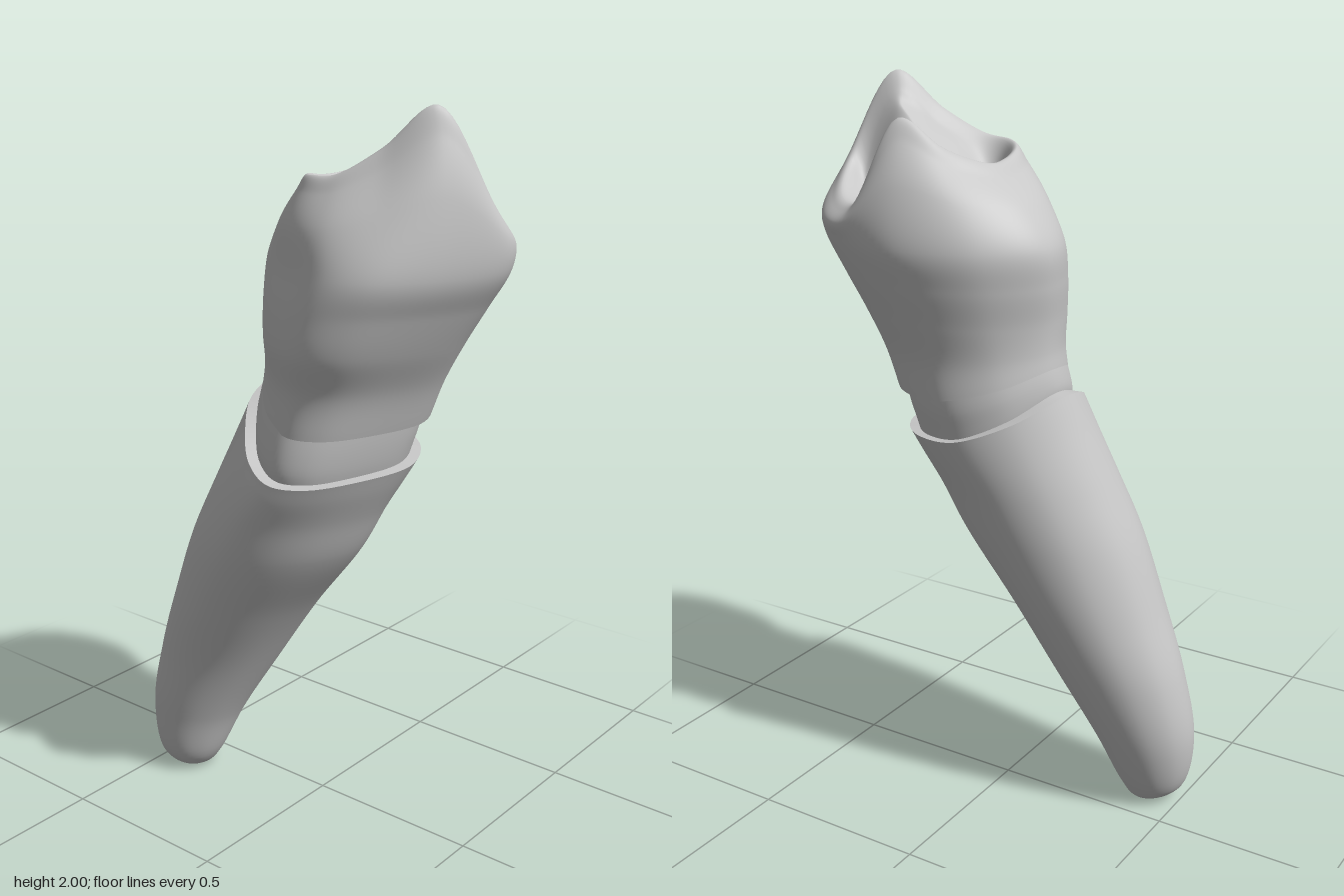
import * as THREE from 'three';
import { mergeVertices } from 'three/addons/utils/BufferGeometryUtils.js';

const SEG = 108;
const V = (x, y, z) => new THREE.Vector3(x, y, z);

// Plan outline of the tooth, from +x round through +z
const OUTLINE = [
  [0.325, 0.13], [0.285, 0.32], [0.2, 0.45], [0.045, 0.535], [-0.14, 0.47], [-0.275, 0.36],
  [-0.315, 0.24], [-0.265, 0.09], [-0.165, -0.045], [-0.03, -0.16], [0.12, -0.185], [0.265, -0.07],
];

// Outline fitted into a box; lift raises its back edge, round blends it to an ellipse
function ring(y, x0, x1, z0, z1, { lift = 0, round = 0 } = {}) {
  return OUTLINE.map(([px, pz], i) => {
    const a = i * Math.PI / 6;
    const u = THREE.MathUtils.lerp((px + 0.315) / 0.64, 0.5 + 0.5 * Math.cos(a), round);
    const w = THREE.MathUtils.lerp((pz + 0.185) / 0.72, 0.5 + 0.5 * Math.sin(a), round);
    const back = Math.max(0, 1 - w * 1.15);
    return V(x0 + u * (x1 - x0), y + lift * (back ** 3 + 0.22 * u), z0 + w * (z1 - z0));
  });
}

const point = (x, y, z) => OUTLINE.map(() => V(x, y, z));

// Smooth skin through closed rings, listed bottom to top
function loft(rings, steps) {
  const curves = rings.map(r => new THREE.CatmullRomCurve3(r, true));
  const pos = [], index = [];
  for (let j = 0; j < SEG; j++) {
    const column = new THREE.CatmullRomCurve3(curves.map(c => c.getPoint(j / SEG)));
    for (let i = 0; i <= steps; i++) {
      const p = column.getPoint(i / steps);
      pos.push(p.x, p.y, p.z);
    }
  }
  const at = (i, j) => (j % SEG) * (steps + 1) + i;
  for (let j = 0; j < SEG; j++) {
    for (let i = 0; i < steps; i++) {
      const a = at(i, j), b = at(i, j + 1), c = at(i + 1, j), d = at(i + 1, j + 1);
      index.push(a, c, b, b, c, d);
    }
  }
  const geo = new THREE.BufferGeometry();
  geo.setAttribute('position', new THREE.Float32BufferAttribute(pos, 3));
  geo.setIndex(index);
  const merged = mergeVertices(geo, 1e-5);
  merged.computeVertexNormals();
  return merged;
}

export function createModel() {
  const group = new THREE.Group();
  const grey = new THREE.MeshStandardMaterial({ color: 0xc8c8c8 });
  grey.name = 'plain grey';
  const add = (name, rings, steps) => {
    const mesh = new THREE.Mesh(loft(rings, steps), grey);
    mesh.name = name;
    group.add(mesh);
  };

  // Root: tapered, leaning back towards its blunt tip
  const rootTop = ring(1.05, -0.325, 0.242, -0.21, 0.295, { lift: 0.14 });
  add('root', [
    point(-0.12, 0, -0.405),
    ring(0.01, -0.175, -0.065, -0.455, -0.355, { round: 1 }),
    ring(0.05, -0.213, -0.035, -0.505, -0.32, { round: 1 }),
    ring(0.2, -0.237, 0.027, -0.536, -0.25, { round: 1 }),
    ring(0.4, -0.252, 0.09, -0.51, -0.13, { round: 0.85 }),
    ring(0.6, -0.285, 0.14, -0.45, 0.0, { round: 0.65 }),
    ring(0.8, -0.315, 0.18, -0.385, 0.15, { round: 0.45 }),
    ring(0.92, -0.323, 0.205, -0.315, 0.215, { lift: 0.04, round: 0.25 }),
    ring(1.0, -0.327, 0.228, -0.25, 0.265, { lift: 0.1, round: 0.1 }),
    rootTop,
  ], 72);

  // Narrow ledge closing the root against the neck
  add('rootRim', [rootTop, ring(1.052, -0.285, 0.215, -0.17, 0.26, { lift: 0.14 })], 3);

  // Recessed neck band
  add('neck', [
    ring(1.035, -0.288, 0.217, -0.172, 0.255, { lift: 0.13 }),
    ring(1.08, -0.294, 0.224, -0.176, 0.27, { lift: 0.12 }),
    ring(1.14, -0.288, 0.232, -0.172, 0.287, { lift: 0.1 }),
    ring(1.22, -0.27, 0.232, -0.16, 0.305, { lift: 0.08 }),
  ], 12);

  // Crown underside
  const crownBase = ring(1.175, -0.283, 0.245, -0.172, 0.318, { lift: 0.09 });
  add('crownUnderside', [ring(1.19, -0.25, 0.21, -0.13, 0.28, { lift: 0.09 }), crownBase], 3);

  // Ridge joining the cusps, from the smaller cusp round the front to the tall one and the back
  const ridge = [
    V(0.2, 1.91, 0.2), V(0.245, 1.7, 0.3), V(0.17, 1.7, 0.41), V(0.025, 1.785, 0.485),
    V(-0.08, 2.0, 0.41), V(-0.145, 1.9, 0.3), V(-0.195, 1.835, 0.2), V(-0.18, 1.825, 0.11),
    V(-0.1, 1.815, 0.04), V(0, 1.8, 0.01), V(0.095, 1.8, 0.005), V(0.175, 1.84, 0.08),
  ];
  // Floor of the front and back hollows
  const hollow = [
    V(0.14, 1.83, 0.208), V(0.16, 1.7, 0.28), V(0.1, 1.68, 0.36), V(0.025, 1.735, 0.44),
    V(-0.055, 1.95, 0.385), V(-0.1, 1.865, 0.29), V(-0.13, 1.8, 0.2), V(-0.12, 1.74, 0.14),
    V(-0.07, 1.715, 0.1), V(0, 1.7, 0.085), V(0.065, 1.695, 0.065), V(0.12, 1.75, 0.12),
  ];
  // Cross ridge running between the two cusps
  const crest = [
    V(0.1, 1.815, 0.215), V(0.095, 1.795, 0.24), V(0.05, 1.825, 0.28), V(0, 1.87, 0.34),
    V(-0.04, 1.92, 0.365), V(-0.065, 1.865, 0.29), V(-0.075, 1.81, 0.22), V(-0.06, 1.77, 0.18),
    V(-0.03, 1.75, 0.16), V(0.01, 1.74, 0.145), V(0.05, 1.735, 0.14), V(0.085, 1.765, 0.165),
  ];
  const belly = ring(1.6, -0.308, 0.322, -0.178, 0.532);
  // Walls between the belly and the ridge, swollen outwards
  const wall = (t, swell) => ridge.map((p, i) => {
    const q = belly[i].clone().lerp(p, t);
    return V(q.x * swell, q.y, 0.2 + (q.z - 0.2) * swell);
  });
  add('crown', [
    crownBase,
    ring(1.29, -0.283, 0.25, -0.168, 0.362, { lift: 0.03 }),
    ring(1.4, -0.315, 0.275, -0.17, 0.42),
    ring(1.5, -0.317, 0.303, -0.18, 0.477),
    belly, wall(0.48, 1.1), wall(0.82, 1.07), ridge, hollow, crest,
    point(0.015, 1.82, 0.24),
  ], 110);

  return group;
}
